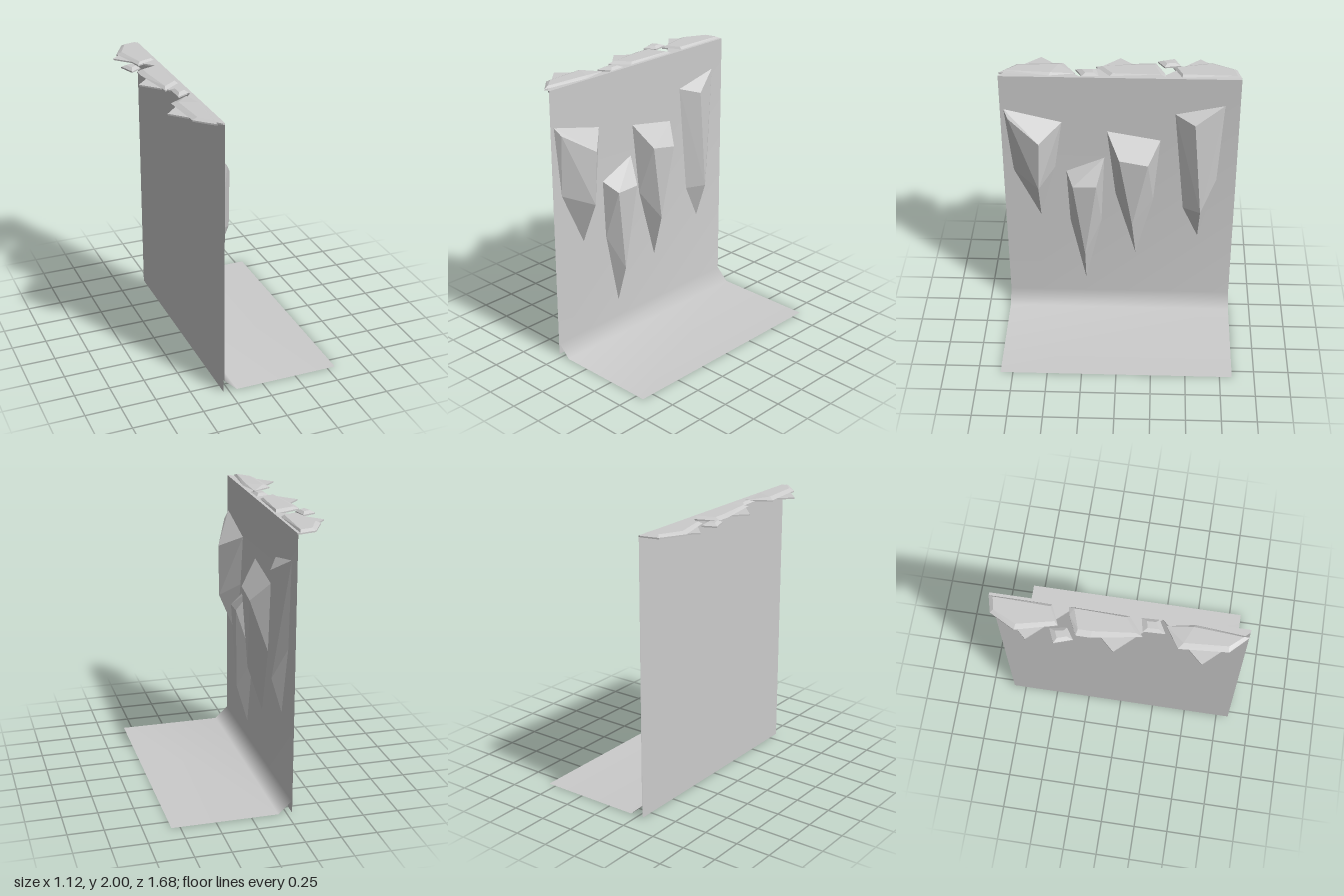
import * as THREE from 'three';
import { ConvexGeometry } from 'three/addons/geometries/ConvexGeometry.js';

const WALL = -0.285, HALF = 0.84, TOP = 1.975;

export function createModel() {
  const group = new THREE.Group();
  const smooth = new THREE.MeshStandardMaterial({ color: 0xcccccc, side: THREE.DoubleSide });
  const faceted = new THREE.MeshStandardMaterial({ color: 0xcccccc, flatShading: true, side: THREE.DoubleSide });

  const add = (name, geometry, material) => {
    const mesh = new THREE.Mesh(geometry, material);
    mesh.name = name;
    group.add(mesh);
  };

  // Sweep an x/y profile along z as one smooth sheet
  const sheet = (profile) => {
    const pos = [], index = [];
    profile.forEach(([x, y], i) => {
      pos.push(x, y, HALF, x, y, -HALF);
      if (i > 0) {
        const a = 2 * i - 2;
        index.push(a, a + 2, a + 1, a + 1, a + 2, a + 3);
      }
    });
    const g = new THREE.BufferGeometry();
    g.setAttribute('position', new THREE.Float32BufferAttribute(pos, 3));
    g.setIndex(index);
    g.computeVertexNormals();
    return g;
  };

  // Cliff face running through a small chamfer into the ground
  add('cliffAndGround', sheet([[WALL, TOP], [WALL, 0.09], [-0.19, 0], [0.56, 0]]), smooth);
  add('cliffBack', sheet([[WALL - 0.005, TOP], [WALL - 0.005, 0]]), smooth);

  // Thin zigzag ledge on top of the cliff
  const ledge = new THREE.Shape();
  ledge.moveTo(WALL, -HALF);
  for (let i = 0; i <= 6; i++) ledge.lineTo(i % 2 ? -0.56 : -0.3, -HALF + i * 0.28);
  ledge.lineTo(WALL, HALF);
  const ledgeGeo = new THREE.ExtrudeGeometry(ledge, { depth: 0.01, bevelEnabled: false });
  ledgeGeo.rotateX(Math.PI / 2).translate(0, TOP + 0.01, 0);
  add('ledge', ledgeGeo, faceted);

  // Flat bevelled slabs: lower and upper outlines in x/z
  const slab = (name, lower, upper) => add(name, new ConvexGeometry([
    ...lower.map(([x, z]) => new THREE.Vector3(x, TOP, z)),
    ...lower.map(([x, z]) => new THREE.Vector3(x, TOP + 0.01, z)),
    ...upper.map(([x, z]) => new THREE.Vector3(x, 2, z)),
  ]), faceted);

  slab('backSlab',
    [[-0.305, -0.84], [-0.42, -0.81], [-0.51, -0.64], [-0.44, -0.37], [-0.305, -0.43]],
    [[-0.315, -0.81], [-0.4, -0.79], [-0.475, -0.635], [-0.42, -0.395], [-0.325, -0.435]]);
  slab('middleSlab',
    [[-0.305, -0.32], [-0.36, -0.31], [-0.49, -0.25], [-0.49, -0.155], [-0.435, 0.17], [-0.31, 0.07]],
    [[-0.315, -0.285], [-0.45, -0.24], [-0.45, -0.15], [-0.42, 0.125], [-0.325, 0.05]]);
  slab('frontSlab',
    [[-0.34, 0.31], [-0.48, 0.4], [-0.455, 0.72], [-0.335, 0.84], [-0.305, 0.49]],
    [[-0.325, 0.48], [-0.44, 0.43], [-0.42, 0.715], [-0.345, 0.8]]);

  // Small stones shrink toward their centre at the top
  const stone = (name, lower) => {
    const cx = lower.reduce((s, p) => s + p[0], 0) / 4;
    const cz = lower.reduce((s, p) => s + p[1], 0) / 4;
    slab(name, lower, lower.map(([x, z]) => [cx + (x - cx) * 0.5, cz + (z - cz) * 0.5]));
  };
  stone('backStone', [[-0.465, -0.42], [-0.56, -0.38], [-0.52, -0.26], [-0.445, -0.31]]);
  stone('frontStone', [[-0.31, 0.145], [-0.4, 0.165], [-0.395, 0.31], [-0.305, 0.26]]);

  // Pointed crags on the cliff: z/y points on the wall, x/y/z points standing out
  const crag = (name, onWall, raised) => add(name, new ConvexGeometry([
    ...onWall.map(([z, y]) => new THREE.Vector3(WALL, y, z)),
    ...raised.map((p) => new THREE.Vector3(...p)),
  ]), faceted);

  crag('frontCrag',
    [[0.815, 1.72], [0.685, 1.685], [0.41, 1.62], [0.465, 1.24], [0.58, 0.81], [0.765, 1.21]],
    [[-0.245, 1.665, 0.785], [-0.14, 1.52, 0.565], [-0.15, 1.13, 0.58]]);
  crag('lowCrag',
    [[0.385, 1.205], [0.11, 1.325], [0.135, 0.765], [0.255, 0.22], [0.365, 0.77]],
    [[-0.175, 1.135, 0.335], [-0.165, 1.145, 0.165], [-0.2, 0.51, 0.255]]);
  crag('middleCrag',
    [[0.09, 1.55], [-0.29, 1.48], [-0.245, 0.965], [-0.12, 0.47], [0.03, 1.015]],
    [[-0.16, 1.38, 0], [-0.16, 1.34, -0.205], [-0.18, 0.805, -0.095]]);
  crag('backCrag',
    [[-0.39, 1.7], [-0.735, 1.775], [-0.7, 1.15], [-0.58, 0.64], [-0.465, 0.895], [-0.43, 1.28]],
    [[-0.205, 1.655, -0.53], [-0.205, 0.905, -0.59]]);

  return group;
}
